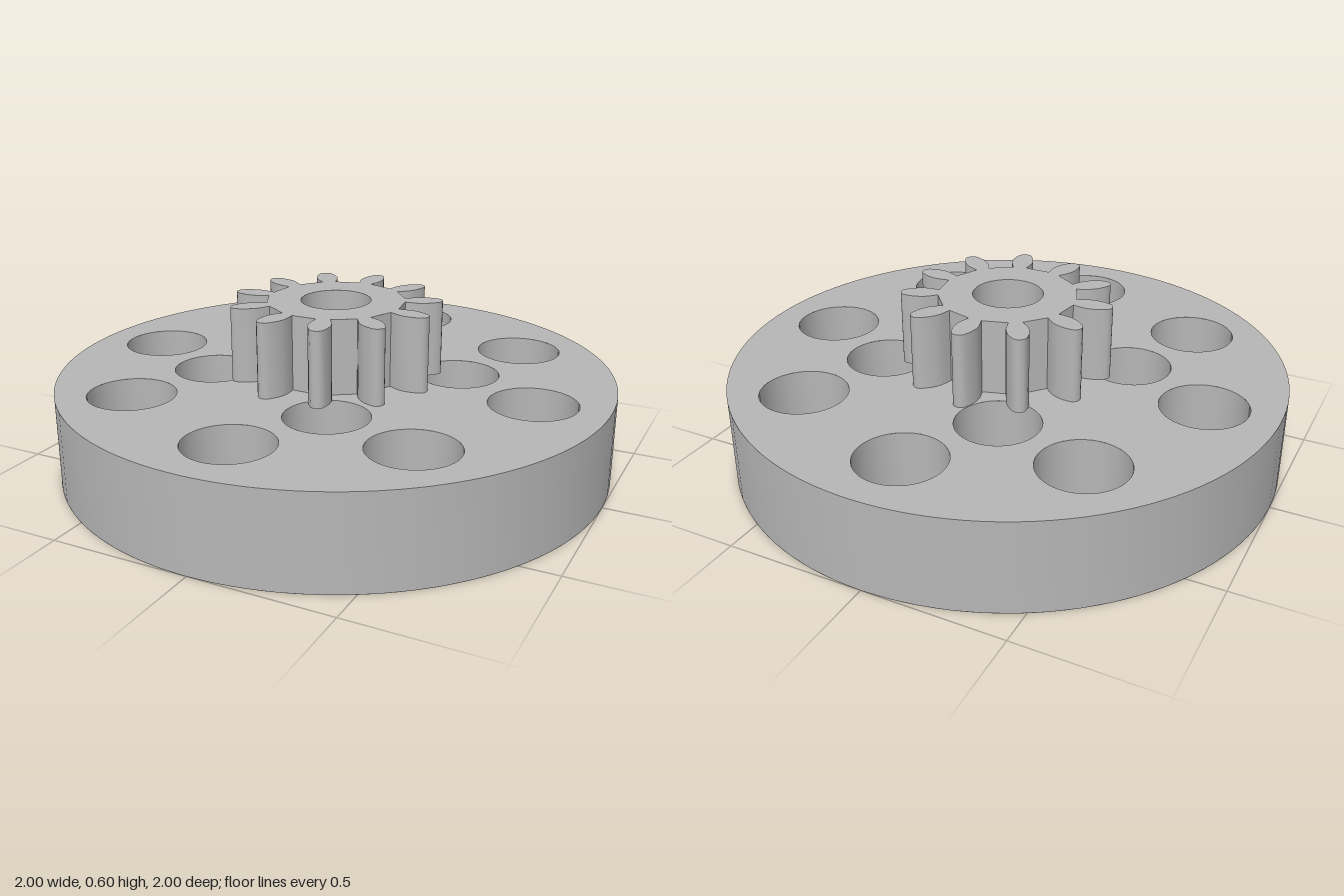
import * as THREE from 'three';
import { toCreasedNormals } from 'three/addons/utils/BufferGeometryUtils.js';

const SEG = 64;
const DISC_R = 1, DISC_H = 0.33, TOP = 0.6, BORE_R = 0.125;
const POCKET_R = 0.154, POCKET_FLOOR = 0.08;
const BOLT_R = 0.083, COUNTERBORE_R = 0.147, COUNTERBORE_FLOOR = 0.14;
const TEETH = 11;

// Evenly spaced points [x, z] on a circle
const ring = (n, radius, start) => Array.from({ length: n }, (_, i) => {
  const a = start + (i * Math.PI * 2) / n;
  return [radius * Math.cos(a), -radius * Math.sin(a)];
});

const circle = (Type, x, y, r) => new Type().absarc(x, y, r, 0, Math.PI * 2, false);

// Surface of revolution with sharp profile corners
function turned(points) {
  const profile = points.map(([r, y]) => new THREE.Vector2(r, y));
  return toCreasedNormals(new THREE.LatheGeometry(profile, SEG), 0.5);
}

// Flat disc face at height y, facing up (side 1) or down (side -1), with round holes [x, z, r]
function face(y, side, holes) {
  const shape = circle(THREE.Shape, 0, 0, DISC_R);
  for (const [x, z, r] of holes) shape.holes.push(circle(THREE.Path, x, -side * z, r));
  return new THREE.ShapeGeometry(shape, SEG).rotateX(-side * Math.PI / 2).translate(0, y, 0);
}

// Gear outline: each tooth is narrow at its root, bulges, then rounds off at the tip
function gearShape() {
  const flank = [[0.024, 0.246], [0.032, 0.268], [0.038, 0.29], [0.039, 0.31],
    [0.036, 0.333], [0.029, 0.355], [0.021, 0.371], [0.011, 0.378]];
  const tooth = [
    ...flank.map(([w, r]) => [w, r]),
    [0, 0.38],
    ...flank.slice().reverse().map(([w, r]) => [-w, r]),
  ];
  const points = [];
  for (let i = 0; i < TEETH; i++) {
    const a = (i * Math.PI * 2) / TEETH, c = Math.cos(a), s = Math.sin(a);
    for (const [x, y] of tooth) points.push(new THREE.Vector2(x * c - y * s, x * s + y * c));
  }
  const shape = new THREE.Shape(points);
  shape.holes.push(circle(THREE.Path, 0, 0, BORE_R));
  return shape;
}

export function createModel() {
  const model = new THREE.Group();
  model.name = 'gearedDisc';
  const grey = new THREE.MeshStandardMaterial({ color: 0xb6b6b6, side: THREE.DoubleSide });
  grey.name = 'grey';
  const add = (name, geometry, x = 0, z = 0, parent = model) => {
    const mesh = new THREE.Mesh(geometry, grey);
    mesh.name = name;
    mesh.position.set(x, 0, z);
    parent.add(mesh);
  };

  const pockets = ring(8, 0.741, 0);
  const bolts = ring(4, 0.443, Math.PI / 8);
  const bore = [0, 0, BORE_R];

  // Disc shell
  const disc = new THREE.Group();
  disc.name = 'disc';
  model.add(disc);
  add('discRim', turned([[DISC_R, 0], [DISC_R, DISC_H]]), 0, 0, disc);
  add('discTop', face(DISC_H, 1, [
    bore,
    ...pockets.map(([x, z]) => [x, z, POCKET_R]),
    ...bolts.map(([x, z]) => [x, z, COUNTERBORE_R]),
  ]), 0, 0, disc);
  add('discBottom', face(0, -1, [bore, ...bolts.map(([x, z]) => [x, z, BOLT_R])]), 0, 0, disc);
  add('discBore', turned([[BORE_R, DISC_H], [BORE_R, 0]]), 0, 0, disc);

  // Blind pockets around the rim
  const pocket = turned([[POCKET_R, DISC_H], [POCKET_R, POCKET_FLOOR], [0, POCKET_FLOOR]]);
  pockets.forEach(([x, z], i) => add(`pocket${i + 1}`, pocket, x, z));

  // Counterbored through holes
  const boltHole = turned([[COUNTERBORE_R, DISC_H], [COUNTERBORE_R, COUNTERBORE_FLOOR],
    [BOLT_R, COUNTERBORE_FLOOR], [BOLT_R, 0]]);
  bolts.forEach(([x, z], i) => add(`boltHole${i + 1}`, boltHole, x, z));

  // Pinion gear on top
  const gear = new THREE.ExtrudeGeometry(gearShape(), {
    depth: TOP - DISC_H, bevelEnabled: false, curveSegments: SEG,
  }).rotateX(-Math.PI / 2).translate(0, DISC_H, 0);
  add('gear', toCreasedNormals(gear, 0.6));

  return model;
}
